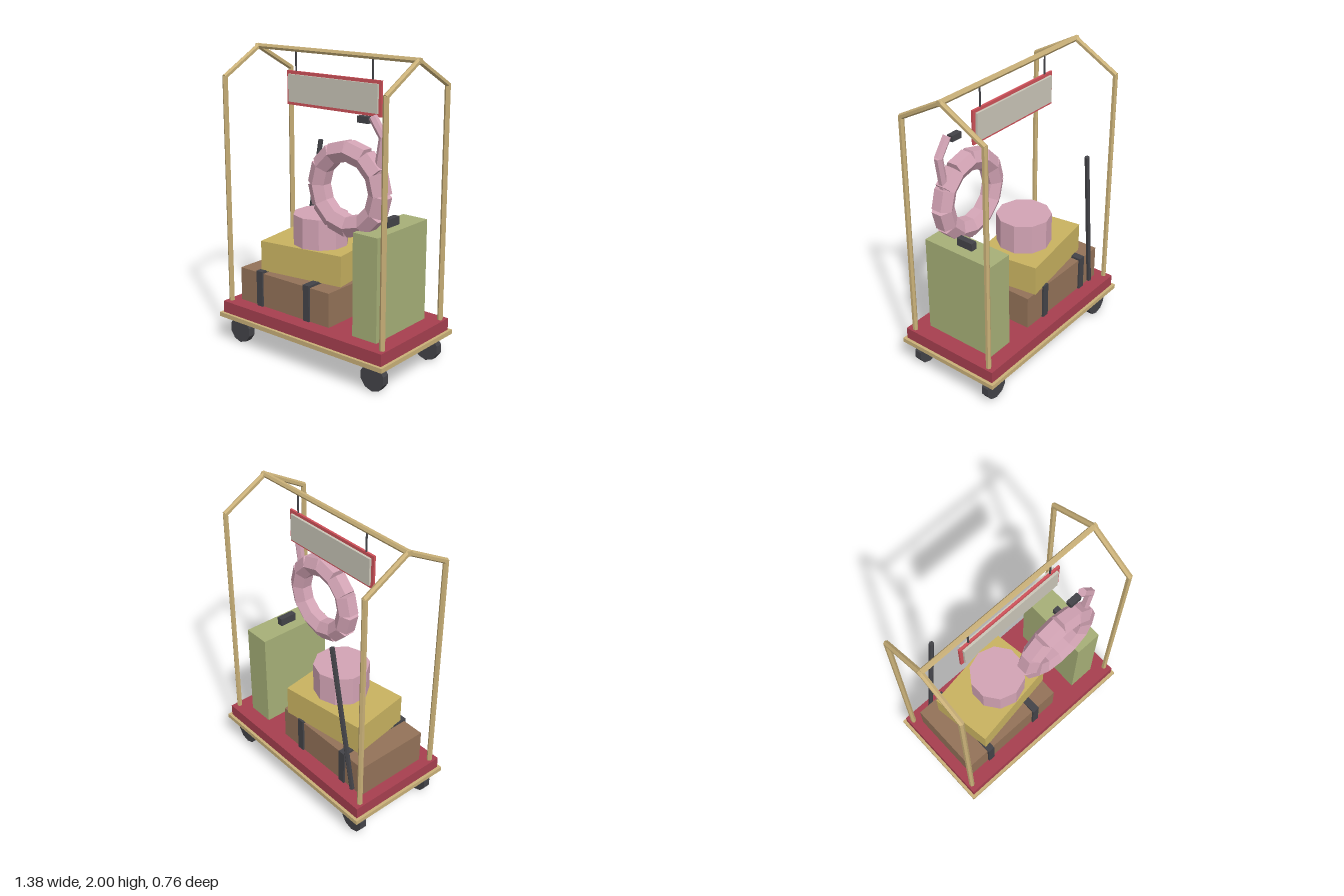
import * as THREE from 'three';

const mat = (name, color) => {
  const m = new THREE.MeshStandardMaterial({ color, flatShading: true });
  m.name = name;
  return m;
};

export function createModel() {
  const brass = mat('brass', 0xc9b078);
  const red = mat('carpet red', 0xa63f4f);
  const signRed = mat('sign red', 0xd0525a);
  const cream = mat('sign cream', 0xc9c5b7);
  const brown = mat('brown leather', 0x937258);
  const mustard = mat('mustard', 0xc8b260);
  const pink = mat('pink', 0xd2a3b4);
  const green = mat('olive green', 0xa6af77);
  const dark = mat('charcoal', 0x434348);

  const model = new THREE.Group();
  model.name = 'luggageCart';

  const add = (name, geometry, material, x = 0, y = 0, z = 0) => {
    const mesh = new THREE.Mesh(geometry, material);
    mesh.name = name;
    mesh.position.set(x, y, z);
    model.add(mesh);
    return mesh;
  };
  const box = (name, material, w, h, d, x, y, z) =>
    add(name, new THREE.BoxGeometry(w, h, d), material, x, y, z);

  // Straight faceted bar between two points, lengthened a little at both ends
  const up = new THREE.Vector3(0, 1, 0);
  const rod = (name, material, from, to, r, extra = 0) => {
    const a = new THREE.Vector3(...from);
    const b = new THREE.Vector3(...to);
    const dir = b.clone().sub(a);
    const mesh = add(name, new THREE.CylinderGeometry(r, r, dir.length() + 2 * extra, 6), material);
    mesh.position.copy(a).add(b).multiplyScalar(0.5);
    mesh.quaternion.setFromUnitVectors(up, dir.normalize());
    return mesh;
  };

  // Platform
  box('basePlate', brass, 1.376, 0.03, 0.76, 0, 0.195, 0);
  box('carpetDeck', red, 1.336, 0.08, 0.72, 0, 0.25, 0);

  // Wheels and gabled rail frame
  for (const sx of [-1, 1]) {
    for (const sz of [-1, 1]) {
      const wheel = add('wheel', new THREE.CylinderGeometry(0.09, 0.09, 0.05, 10), dark,
        sx * 0.566, 0.09, sz * 0.288);
      wheel.rotation.x = Math.PI / 2;
      const x = sx * 0.638;
      rod('cornerPost', brass, [x, 0.28, sz * 0.31], [x, 1.81, sz * 0.31], 0.018, 0.005);
      rod('gableBar', brass, [x, 1.81, sz * 0.31], [x, 1.98, 0], 0.018, 0.006);
    }
    rod('signHanger', dark, [sx * 0.308, 1.84, 0], [sx * 0.308, 1.97, 0], 0.006);
  }
  rod('topRail', brass, [-0.655, 1.98, 0], [0.655, 1.98, 0], 0.018);

  // Hanging sign
  box('signFrame', signRed, 0.76, 0.22, 0.014, 0, 1.732, 0);
  box('signPanel', cream, 0.718, 0.178, 0.044, 0, 1.732, 0);

  // Strapped bottom case
  box('brownCase', brown, 0.772, 0.23, 0.515, -0.209, 0.405, 0);
  for (const x of [-0.414, -0.003]) box('caseStrap', dark, 0.05, 0.245, 0.54, x, 0.4125, 0);

  // Turned case and hat box
  const turned = box('mustardCase', mustard, 0.615, 0.205, 0.42, -0.155, 0.632, -0.022);
  turned.rotation.y = 0.145;
  add('hatBox', new THREE.CylinderGeometry(0.183, 0.183, 0.203, 10), pink, -0.107, 0.836, -0.003);

  // Upright case with handle
  box('greenCase', green, 0.185, 0.67, 0.515, 0.46, 0.625, 0);
  box('caseHandle', dark, 0.042, 0.055, 0.12, 0.46, 0.985, 0);

  // Swim ring made of twelve hexagonal segments
  const ring = new THREE.Group();
  ring.name = 'swimRing';
  ring.position.set(0.254, 1.19, 0.155);
  const segment = new THREE.CylinderGeometry(0.072, 0.072, 0.132, 6);
  for (let i = 0; i < 12; i++) {
    const a = ((i + 0.5) * Math.PI) / 6;
    const mesh = new THREE.Mesh(segment, pink);
    mesh.name = 'ringSegment';
    mesh.position.set(0.23 * Math.cos(a), 0.23 * Math.sin(a), 0);
    mesh.rotation.z = a;
    ring.add(mesh);
  }
  model.add(ring);

  // Bird neck and beak on the ring
  rod('neckLower', pink, [0.473, 1.32, 0.155], [0.51, 1.54, 0.155], 0.028, 0.004);
  rod('neckUpper', pink, [0.51, 1.54, 0.155], [0.432, 1.65, 0.155], 0.028, 0.004);
  box('beak', dark, 0.082, 0.04, 0.04, 0.367, 1.63, 0.153);

  // Leaning stick behind the cases
  rod('leaningStick', dark, [-0.516, 0.3, -0.267], [-0.365, 1.34, -0.305], 0.017);

  return model;
}
